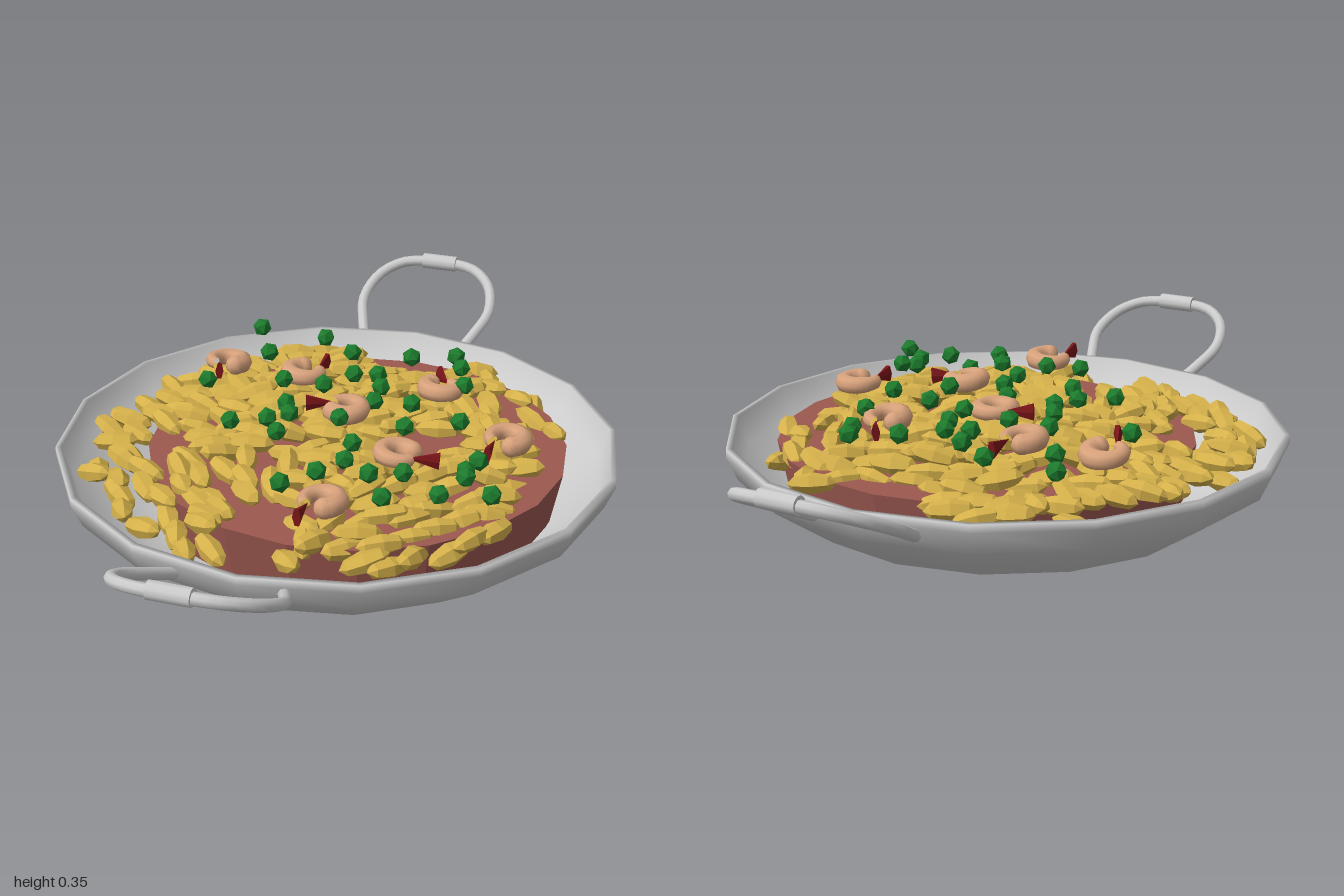
import * as THREE from 'three';

const mat = (color, flatShading = false) => new THREE.MeshStandardMaterial({ color, flatShading });
const steel = mat(0xcccccc);
steel.side = THREE.DoubleSide;
const riceMat = mat(0xd4b04a, true);
const peaMat = mat(0x1c7a2c, true);
const shrimpMat = mat(0xd8a27c);
const tailMat = mat(0x7a1518, true);
const sauceMat = mat(0x9c5850, true);

let seed = 7;
const rnd = () => (seed = (seed * 16807) % 2147483647) / 2147483647;
const jitter = (a) => (rnd() * 2 - 1) * a;

function add(parent, name, geometry, material, x = 0, y = 0, z = 0) {
  const mesh = new THREE.Mesh(geometry, material);
  mesh.name = name;
  mesh.position.set(x, y, z);
  parent.add(mesh);
  return mesh;
}

// Height of the heaped food at a distance from the middle
const heap = (x, z) => 0.25 - 0.055 * (x * x + z * z) / 0.36;

function makePan() {
  const profile = [
    [0, 0.004], [0.4, 0.006], [0.53, 0.03], [0.685, 0.14], [0.71, 0.2], [0.71, 0.22],
    [0.695, 0.22], [0.67, 0.145], [0.52, 0.045], [0.4, 0.025], [0, 0.02],
  ].map(([r, y]) => new THREE.Vector2(r, y));
  return new THREE.LatheGeometry(profile, 16);
}

// Loop handle sloping up and outwards; side is 1 at the front, -1 at the back
function makeHandle(name, side, cx) {
  const handle = new THREE.Group();
  handle.name = name;
  const half = [[0.132, 0.67], [0.165, 0.75], [0.188, 0.83], [0.165, 0.915], [0.11, 0.965], [0.04, 0.98]];
  const points = [...half, ...half.map(([x, z]) => [-x, z]).reverse()]
    .map(([x, z]) => new THREE.Vector3(cx + x, 0.175 + (z - 0.67) * 0.5, z * side));
  const curve = new THREE.CatmullRomCurve3(points);
  add(handle, 'handleLoop', new THREE.TubeGeometry(curve, 36, 0.015, 8), steel);
  const grip = new THREE.CylinderGeometry(0.022, 0.022, 0.1, 10);
  add(handle, 'handleGrip', grip.rotateZ(Math.PI / 2), steel, cx, 0.331, 0.978 * side);
  return handle;
}

// Main lie of the grains in each part of the pan
function grainAngle(x, z) {
  if (z > 0.2) return x < 0.1 ? 0.8 : -0.8;
  if (x > 0.25 && z < -0.1) return 0.9;
  return x < -0.3 ? 0.2 : -0.4;
}

// Bare patches where the sauce shows: x, z, half width, half depth
const gaps = [[0.05, -0.53, 0.1, 0.05], [0.58, -0.06, 0.1, 0.26], [-0.05, 0.47, 0.1, 0.1],
  [-0.4, 0.17, 0.08, 0.1], [0.25, -0.02, 0.06, 0.06]];
const isBare = (x, z) => gaps.some(([gx, gz, w, d]) => ((x - gx) / w) ** 2 + ((z - gz) / d) ** 2 < 1);

function makeRice() {
  const rice = new THREE.Group();
  rice.name = 'rice';
  const grain = new THREE.SphereGeometry(1, 6, 4).rotateZ(Math.PI / 2).scale(0.062, 0.026, 0.029);
  for (let row = 0; row < 22; row++) {
    for (let col = 0; col < 14; col++) {
      const x = -0.6 + (col + (row % 2) * 0.5) * 0.09 + jitter(0.025);
      const z = -0.55 + row * 0.053 + jitter(0.018);
      if (Math.hypot(x + 0.02, z) > 0.6 || isBare(x, z)) continue;
      const mesh = add(rice, 'grain', grain, riceMat, x, heap(x, z) - 0.012 + jitter(0.014), z);
      mesh.rotation.set(jitter(0.6), -grainAngle(x, z) + jitter(0.45), jitter(0.3), 'YXZ');
    }
  }
  return rice;
}

// Curled body thinning towards the tail
const ARC = 5;
function shrimpBody() {
  const ring = 0.04;
  const geo = new THREE.TorusGeometry(ring, 0.026, 8, 20, ARC);
  const pos = geo.attributes.position;
  for (let i = 0; i < pos.count; i++) {
    const t = geo.attributes.uv.getX(i);
    const k = 0.6 + 0.4 * Math.sin(Math.min(t * 1.8, 1.57));
    const cx = Math.cos(t * ARC) * ring, cy = Math.sin(t * ARC) * ring;
    pos.setXYZ(i, cx + (pos.getX(i) - cx) * k, cy + (pos.getY(i) - cy) * k, pos.getZ(i) * k);
  }
  return geo.rotateX(Math.PI / 2);
}

function makeShrimps() {
  const shrimps = new THREE.Group();
  shrimps.name = 'shrimps';
  const body = shrimpBody();
  const head = new THREE.SphereGeometry(0.026, 8, 6);
  const tail = new THREE.ConeGeometry(0.024, 0.08, 6).rotateZ(Math.PI / 2).scale(1, 1, 0.45);
  // x, z and the direction in which the tail lies
  const places = [[-0.39, -0.23, 1.6], [-0.17, -0.23, -1.1], [0.2, -0.25, -1.7], [0, -0.06, 3.2],
    [0.43, -0.02, 2], [0.2, 0.14, 0.15], [0.1, 0.42, 2]];
  for (const [x, z, angle] of places) {
    const shrimp = new THREE.Group();
    shrimp.name = 'shrimp';
    shrimp.position.set(x, 0.278, z);
    shrimp.rotation.set(jitter(0.1), -angle - 0.35, jitter(0.1));
    add(shrimp, 'shrimpBody', body, shrimpMat);
    add(shrimp, 'shrimpHead', head, shrimpMat, Math.cos(ARC) * 0.04, 0, Math.sin(ARC) * 0.04);
    add(shrimp, 'shrimpTail', tail, tailMat, 0.06, 0.002, -0.025).rotation.y = Math.PI / 4;
    shrimps.add(shrimp);
  }
  return shrimps;
}

function makePeas() {
  const peas = new THREE.Group();
  peas.name = 'peas';
  const pea = new THREE.IcosahedronGeometry(0.026, 0);
  const places = [
    [-0.37, -0.44], [-0.18, -0.43], [0.08, -0.38], [0.19, -0.43], [-0.08, -0.36], [-0.3, -0.31],
    [-0.04, -0.25], [0.02, -0.27], [0.22, -0.37], [0.05, -0.2], [0.26, -0.25], [-0.39, -0.09],
    [-0.2, -0.15], [0.06, -0.11], [0.16, -0.11], [-0.09, -0.15], [-0.15, -0.03], [0.01, 0.02],
    [0.3, -0.06], [0.18, 0.02], [-0.12, 0.03], [-0.16, 0.08], [-0.24, 0.13], [-0.11, 0.15],
    [0.08, 0.13], [0.09, 0.22], [0.4, 0.14], [0.38, 0.18], [0.24, 0.23], [0.17, 0.28],
    [0.39, 0.22], [-0.02, 0.37], [0.05, 0.31], [0.23, 0.37], [0.35, 0.31], [0.47, 0.29],
  ];
  for (const [x, z] of places) {
    add(peas, 'pea', pea, peaMat, x, 0.287 + jitter(0.008), z).rotation.set(rnd() * 3, rnd() * 3, 0);
  }
  return peas;
}

export function createModel() {
  const model = new THREE.Group();
  model.name = 'panOfRice';
  add(model, 'pan', makePan(), steel);
  model.add(makeHandle('frontHandle', 1, -0.033), makeHandle('backHandle', -1, -0.01));
  add(model, 'sauce', new THREE.CylinderGeometry(0.53, 0.5, 0.15, 20), sauceMat, 0.045, 0.125, -0.02);
  model.add(makeRice(), makeShrimps(), makePeas());
  return model;
}
